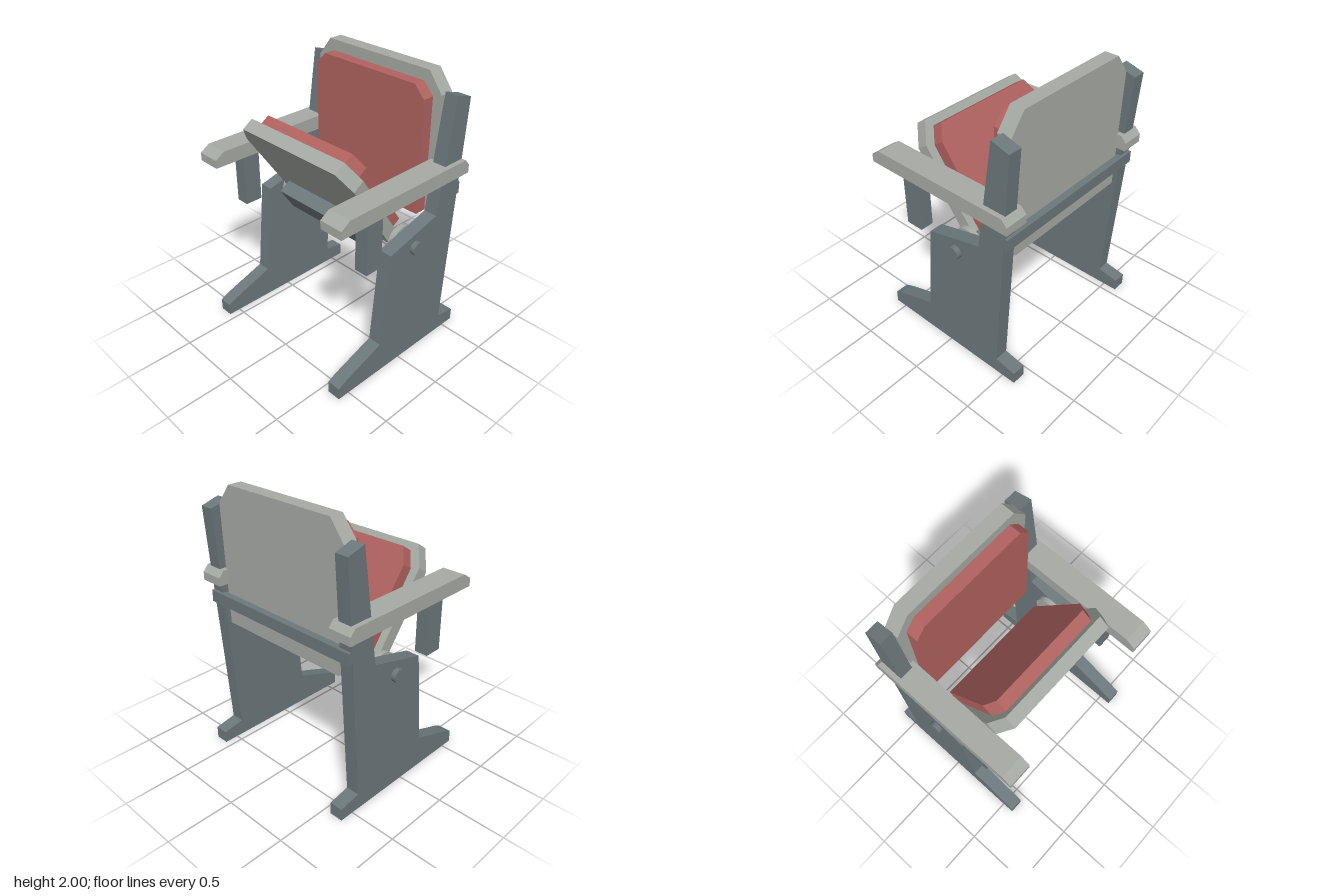
import * as THREE from 'three';

const mat = (color) => new THREE.MeshStandardMaterial({ color, flatShading: true });
const slate = mat(0x6c787b);
const panel = mat(0xa6aaa4);
const fabric = mat(0xb0625f);

const extrude = (pts, depth) => new THREE.ExtrudeGeometry(
  new THREE.Shape(pts.map(([a, b]) => new THREE.Vector2(a, b))),
  { depth, bevelEnabled: false });

function add(parent, name, geometry, material) {
  const mesh = new THREE.Mesh(geometry, material);
  mesh.name = name;
  parent.add(mesh);
  return mesh;
}

// Side profile given as (z, y), filling x0..x1
function sidePlate(parent, name, pts, x0, x1, material) {
  const mesh = add(parent, name, extrude(pts, x1 - x0), material);
  mesh.rotation.y = -Math.PI / 2;
  mesh.position.x = x1;
}

// Tapered board with two clipped top corners
function board(parent, name, b, z0, z1, material) {
  const half = [[b.low, b.y0], [b.wide, b.shoulder], [b.top, b.y1]];
  const mirrored = half.map(([x, y]) => [-x, y]).reverse();
  add(parent, name, extrude([...half, ...mirrored], z1 - z0), material).position.z = z0;
}

function box(parent, name, size, pos, material) {
  add(parent, name, new THREE.BoxGeometry(...size), material).position.set(...pos);
}

function rod(parent, name, r, length, pos) {
  const geo = new THREE.CylinderGeometry(r, r, length, 32).rotateZ(Math.PI / 2);
  const smooth = (name === 'washer' ? panel : slate).clone();
  smooth.flatShading = false;
  add(parent, name, geo, smooth).position.set(...pos);
}

export function createModel() {
  const chair = new THREE.Group();
  chair.name = 'foldingSeat';

  const frame = [[0.59, 0], [0.59, 0.09], [0.53, 0.12], [0.2, 0.235], [0.13, 0.94],
    [-0.31, 1.055], [-0.43, 1.875], [-0.565, 1.835], [-0.445, 0.12], [-0.605, 0.09], [-0.605, 0]];
  const arm = [[0.61, 1.3], [0.61, 1.36], [0.54, 1.405], [-0.535, 1.405], [-0.575, 1.36], [-0.575, 1.3]];

  // Side frames, armrests, arm posts and pivot washers
  for (const s of [1, -1]) {
    const span = (a, b) => (s > 0 ? [a, b] : [-b, -a]);
    sidePlate(chair, 'sideFrame', frame, ...span(0.555, 0.655), slate);
    sidePlate(chair, 'armrest', arm, ...span(0.515, 0.69), panel);
    box(chair, 'armPost', [0.1, 0.4, 0.135], [s * 0.605, 1.1, 0.288], slate);
    rod(chair, 'washer', 0.115, 0.04, [s * 0.535, 0.9, -0.105]);
  }

  // Pivot rod and rear crossbar
  rod(chair, 'pivotRod', 0.048, 1.38, [0, 0.9, -0.105]);
  box(chair, 'rearCrossbar', [1.3, 0.085, 0.05], [0, 1.183, -0.52], slate);

  // Backrest
  board(chair, 'backPanel', { low: 0.52, wide: 0.557, top: 0.45, y0: 1.0, shoulder: 1.86, y1: 2 },
    -0.495, -0.39, panel);
  board(chair, 'backCushion', { low: 0.49, wide: 0.49, top: 0.41, y0: 1.0, shoulder: 1.835, y1: 1.92 },
    -0.39, -0.302, fabric);

  // Tipped-up seat, built flat and then tilted
  const seat = new THREE.Group();
  seat.name = 'seat';
  seat.position.set(0, 0.94, -0.11);
  seat.rotation.x = 0.595;
  board(seat, 'seatPanel', { low: 0.495, wide: 0.52, top: 0.44, y0: 0, shoulder: 0.66, y1: 0.81 },
    0, 0.095, panel);
  board(seat, 'seatCushion', { low: 0.44, wide: 0.46, top: 0.4, y0: 0, shoulder: 0.64, y1: 0.753 },
    -0.092, 0, fabric);
  box(seat, 'seatBlock', [0.78, 0.208, 0.1], [0, 0.104, 0.145], slate);
  chair.add(seat);

  return chair;
}
